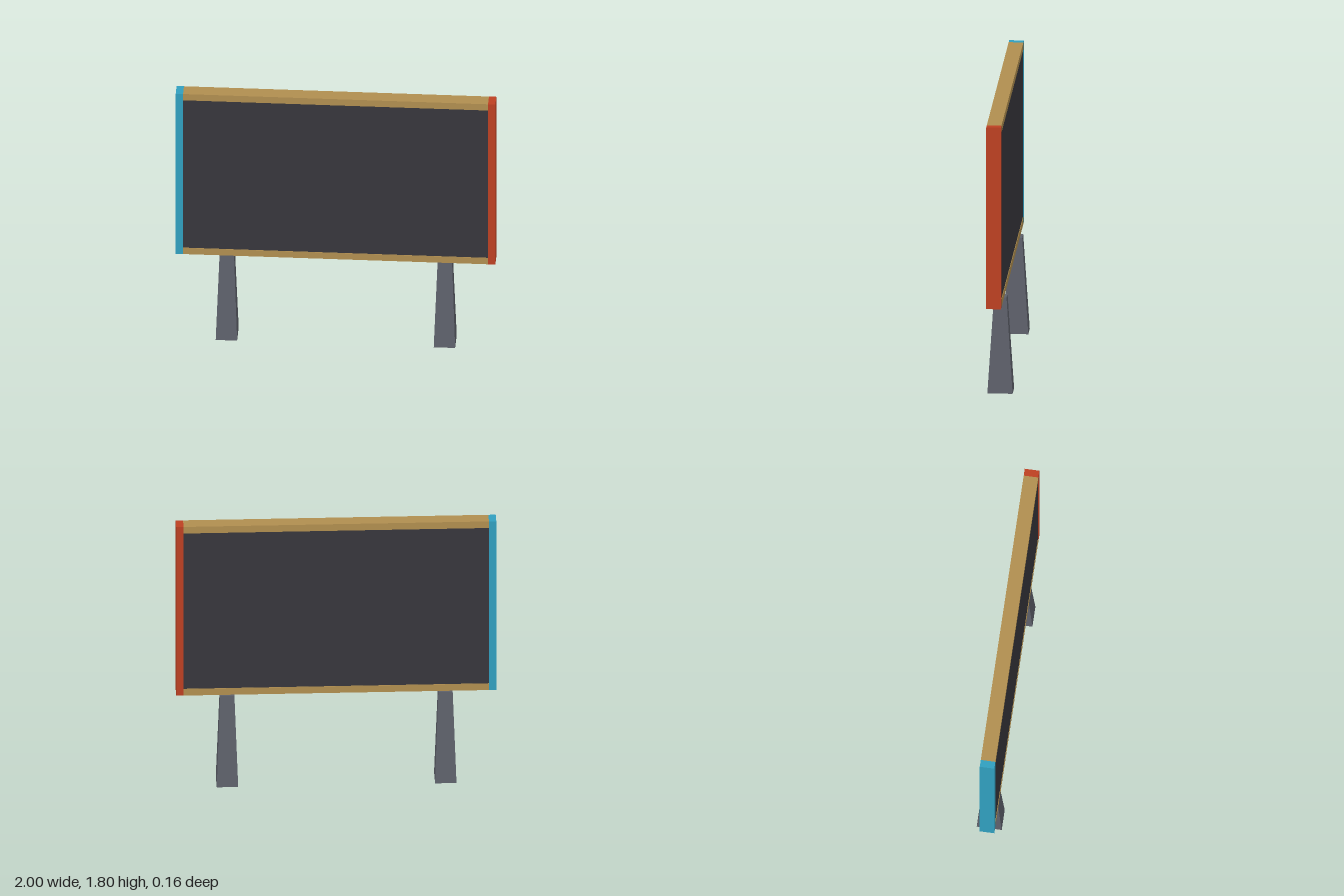
import * as THREE from 'three';

const paint = (name, color) => {
  const m = new THREE.MeshStandardMaterial({ color });
  m.name = name;
  return m;
};

export function createModel() {
  const model = new THREE.Group();
  model.name = 'billboard';

  const tan = paint('tan', 0xb08e4f);
  const red = paint('red', 0xbc4022);
  const blue = paint('blue', 0x309fbf);
  const charcoal = paint('charcoal', 0x37363c);
  const grey = paint('grey', 0x5d606a);

  // Adds a box given by its two opposite corners
  const addBox = (name, material, [x0, y0, z0], [x1, y1, z1]) => {
    const mesh = new THREE.Mesh(new THREE.BoxGeometry(x1 - x0, y1 - y0, z1 - z0), material);
    mesh.position.set((x0 + x1) / 2, (y0 + y1) / 2, (z0 + z1) / 2);
    mesh.name = name;
    model.add(mesh);
  };

  const bottom = 0.618, top = 1.797, back = -0.024, front = 0.068;
  const bar = 0.046, inner = 1 - bar, recess = 0.003;

  // Frame: full-height posts with rails between them
  addBox('leftPost', red, [inner, bottom, back], [1, top, front]);
  addBox('rightPost', blue, [-1, bottom, back], [-inner, top, front]);
  addBox('topRail', tan, [-inner, top - bar, back], [inner, top, front]);
  addBox('bottomRail', tan, [-inner, bottom, back], [inner, bottom + bar, front]);

  // Panel, set slightly inside the frame on both faces
  addBox('panel', charcoal, [-inner, bottom + bar, back + recess], [inner, top - bar, front - recess]);

  // Legs: boxes that taper towards the top
  for (const side of [1, -1]) {
    const geometry = new THREE.BoxGeometry(0.134, bottom, 0.158).translate(0, bottom / 2, 0);
    const p = geometry.attributes.position;
    for (let i = 0; i < p.count; i++) {
      if (p.getY(i) > 0.1) p.setXYZ(i, p.getX(i) * 0.67, p.getY(i), p.getZ(i) * 0.5);
    }
    geometry.computeVertexNormals();
    const leg = new THREE.Mesh(geometry, grey);
    leg.position.x = side * 0.682;
    leg.name = side > 0 ? 'leftLeg' : 'rightLeg';
    model.add(leg);
  }

  return model;
}
